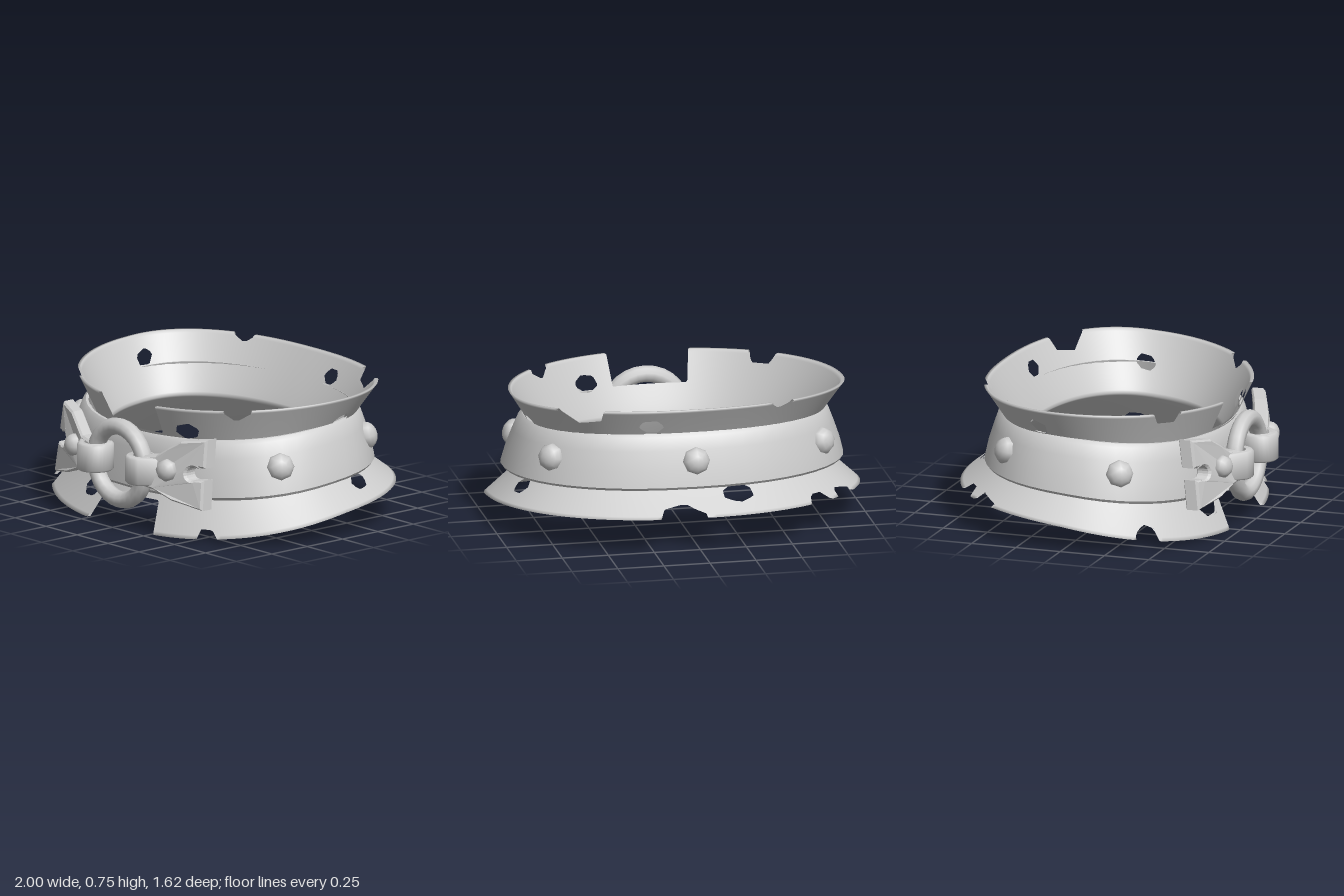
import * as THREE from 'three';
import { toCreasedNormals } from 'three/addons/utils/BufferGeometryUtils.js';

const mat = new THREE.MeshStandardMaterial({ color: 0xcccccc });
const thinMat = new THREE.MeshStandardMaterial({ color: 0xcccccc, side: THREE.DoubleSide });
const lerp = THREE.MathUtils.lerp;
const spow = (v, p) => Math.sign(v) * Math.abs(v) ** p;

// Point on a tilted, slightly squared oval; angle 0 is the front, +90 degrees is +x
// g = [half width, back z, front z, back height, front height, z of widest point, front roundness]
function girth(th, g) {
  const p = Math.cos(th) > 0 ? g[6] : 0.87;
  const c = spow(Math.cos(th), p);
  const y = lerp(g[3], g[4], ((c + 1) / 2) ** 1.75);
  return [g[0] * spow(Math.sin(th), p), y, g[5] + c * (c > 0 ? g[2] - g[5] : g[1] + g[5])];
}
const mix = (g, h, t) => g.map((v, i) => lerp(v, h[i], t));
const widen = (g, o) => g.map((v, i) => (i < 3 ? v + o : v));
const angleAt = (x, z, cz = 0) => Math.atan2(x / 0.9, (z - cz) / (z > cz ? 0.68 - cz : 0.68 + cz));

// Grid wrapped around the oval with a closed cross-section; keep() may drop triangles
function wrapGrid(cols, rows, point, keep = () => true) {
  const pos = [], idx = [];
  for (let j = 0; j < rows; j++)
    for (let i = 0; i < cols; i++) pos.push(...point(i, j));
  for (let j = 0; j < rows; j++)
    for (let i = 0; i < cols; i++) {
      const i2 = (i + 1) % cols, j2 = (j + 1) % rows;
      const a = j * cols + i, b = j * cols + i2, c = j2 * cols + i2, d = j2 * cols + i;
      for (const t of [[a, b, c], [a, c, d]]) if (keep(t)) idx.push(...t);
    }
  const geo = new THREE.BufferGeometry();
  geo.setAttribute('position', new THREE.Float32BufferAttribute(pos, 3));
  geo.setIndex(idx);
  geo.computeVertexNormals();
  return geo;
}

// Worn inner sleeve: narrow waist, flared both ways, with tears and holes
function sleeveGeometry() {
  const bottom = [1.0, 0.82, 0.71, 0.2, 0.0, 0, 0.87];
  const waist = [0.715, 0.505, 0.525, 0.45, 0.37, -0.05, 0.97];
  const top = [0.9, 0.675, 0.675, 0.757, 0.69, -0.13, 1];
  // x, z, height along flare (-1 bottom rim, 1 top rim), angular radius, flare radius, sides, turn
  const tears = [
    [0, 1, -1.15, 0.31, 0.85, 4, Math.PI / 4],
    [0, 1, 1.15, 0.36, 0.95, 4, Math.PI / 4],
    // holes
    [0.18, -0.58, 0.66, 0.085, 0.15, 6, 0],
    [0.35, 0.53, 0.58, 0.1, 0.16, 6, 0.3],
    [-0.78, -0.17, 0.64, 0.1, 0.15, 5, 0.4],
    [0.74, -0.15, 0.5, 0.1, 0.14, 6, 0.2],
    [-0.29, 0.6, -0.62, 0.1, 0.16, 6, 0.2],
    [-0.2, -0.73, -0.65, 0.1, 0.16, 6, 0.5],
    [0.9, -0.19, -0.66, 0.1, 0.15, 6, 0],
    // top rim notches
    [-0.42, -0.58, 1.02, 0.09, 0.17, 5, 0.9],
    [0.55, -0.52, 1.05, 0.2, 0.36, 6, 0.2],
    [0.62, 0.42, 1.02, 0.1, 0.24, 5, 0.9],
    [-0.57, 0.45, 1.02, 0.12, 0.26, 5, 0.3],
    // bottom rim notches
    [0.08, -0.72, -1.03, 0.11, 0.28, 6, 0.3],
    [-0.66, -0.58, -1.02, 0.1, 0.2, 6, 0],
    [-0.8, -0.42, -1.05, 0.14, 0.24, 4, 0.5],
    [-0.75, 0.4, -1.02, 0.1, 0.24, 7, 0],
    [0.48, 0.55, -1.03, 0.08, 0.18, 6, 0],
  ];
  const cols = 240, layer = 41, inside = [];
  const point = (i, j) => {
    // outer layer upwards, then inner layer back down
    const inner = j >= layer, row = inner ? 2 * layer - 1 - j : j;
    let th = (i / cols) * Math.PI * 2, v = (row / (layer - 1)) * 2 - 1, hit = false;
    for (const [x, z, cv, rt, rv, n, turn] of tears) {
      const mid = angleAt(x, z, cv > 0 ? -0.1 : 0), d = th - mid;
      const p = Math.atan2(Math.sin(d), Math.cos(d)) / rt, q = (v - cv) / rv;
      const step = (Math.PI * 2) / n;
      const a = THREE.MathUtils.euclideanModulo(Math.atan2(q, p) - turn, step) - step / 2;
      const edge = Math.cos(step / 2) / Math.cos(a), r = Math.hypot(p, q);
      if (r >= edge) continue;
      // push the vertex out to the rim of the tear
      hit = true;
      const s = r > 1e-4 ? edge / r : 1;
      th = mid + p * s * rt;
      v = cv + q * s * rv;
      break;
    }
    inside.push(hit);
    v = THREE.MathUtils.clamp(v, -1, 1);
    const rim = v > 0 ? top : bottom, t = Math.abs(v);
    const g = mix(waist, rim, t ** 1.08);
    g[3] = lerp(waist[3], rim[3], t);
    g[4] = lerp(waist[4], rim[4], t);
    return girth(th, widen(g, inner ? -0.016 : 0));
  };
  return wrapGrid(cols, layer * 2, point, (t) => !t.every((k) => inside[k]));
}

// Thick band around the sleeve, wider at its lower edge
const bandLow = [0.92, 0.69, 0.645, 0.32, 0.205, 0, 0.87];
const bandHigh = [0.815, 0.597, 0.6, 0.61, 0.515, -0.05, 0.9];
function bandGeometry() {
  // fraction of height, outward offset
  const section = [[0, -0.015], [0.05, 0], [0.35, 0.008], [0.7, 0.008], [0.94, 0.005], [1, -0.008],
    [1, -0.022], [0.5, -0.03], [0, -0.03]];
  const rings = section.map(([t, o]) => widen(mix(bandLow, bandHigh, t), o));
  const cols = 48;
  const geo = wrapGrid(cols, rings.length, (i, j) => girth((i / cols) * Math.PI * 2, rings[j]));
  return toCreasedNormals(geo, 0.7);
}

// Low domed stud whose pole points along +z
function makeStud(r) {
  const geo = new THREE.SphereGeometry(r, 8, 8).rotateX(Math.PI / 2).scale(1, 1, 0.8);
  const stud = new THREE.Mesh(geo, mat);
  stud.name = 'stud';
  return stud;
}

// Front strap: bent plate with a keyhole notch, a loop around the ring and a stud
function makeStrap() {
  const strap = new THREE.Group();
  const s = new THREE.Shape();
  s.moveTo(0.22, 0.285);
  s.lineTo(0.3, 0.275);
  s.lineTo(0.42, 0.23);
  s.lineTo(0.585, 0.195);
  s.lineTo(0.575, 0.335);
  s.lineTo(0.545, 0.335);
  s.absarc(0.52, 0.375, 0.047, -1.0, 1.0, true);
  s.lineTo(0.545, 0.42);
  s.lineTo(0.575, 0.42);
  s.lineTo(0.57, 0.55);
  s.lineTo(0.44, 0.53);
  s.lineTo(0.37, 0.485);
  s.lineTo(0.3, 0.435);
  s.lineTo(0.22, 0.425);
  const plateGeo = new THREE.ExtrudeGeometry(s, {
    depth: 0.06, bevelThickness: 0.01, bevelSize: 0.01, bevelSegments: 1, curveSegments: 6,
  });
  const p = plateGeo.attributes.position;
  for (let i = 0; i < p.count; i++) {
    const x = p.getX(i), y = p.getY(i);
    p.setZ(i, p.getZ(i) + 0.685 - 0.4 * x * x - 0.15 * (y - 0.37));
  }
  plateGeo.computeVertexNormals();
  const plate = new THREE.Mesh(plateGeo, mat);
  plate.name = 'strapPlate';

  // Teardrop loop running from the plate around the ring
  const outline = new THREE.Shape();
  outline.moveTo(0.14, -0.025);
  outline.absarc(0, 0, 0.09, -Math.PI / 3, (-4 * Math.PI) / 3, true);
  outline.lineTo(0.14, 0.03);
  outline.holes.push(new THREE.Path().absarc(0, 0, 0.058, 0, Math.PI * 2, true));
  const loopGeo = new THREE.ExtrudeGeometry(outline, {
    depth: 0.13, bevelThickness: 0.01, bevelSize: 0.01, bevelSegments: 1, curveSegments: 8,
  }).rotateX(-Math.PI / 2);
  const loop = new THREE.Mesh(toCreasedNormals(loopGeo, 0.95), mat);
  loop.name = 'strapLoop';
  loop.position.set(0.195, 0.29, 0.7);

  const stud = makeStud(0.062);
  stud.position.set(0.375, 0.378, 0.695);
  stud.rotation.y = 0.3;
  strap.add(plate, loop, stud);
  return strap;
}

export function createModel() {
  const model = new THREE.Group();
  model.name = 'collar';
  const add = (name, geo, m = mat) => {
    const mesh = new THREE.Mesh(geo, m);
    mesh.name = name;
    model.add(mesh);
    return mesh;
  };
  add('tornSleeve', sleeveGeometry(), thinMat);
  add('band', bandGeometry());
  add('frontRing', new THREE.TorusGeometry(0.2, 0.046, 10, 28)).position.set(0, 0.348, 0.695);

  // Mirrored front straps
  for (const side of [1, -1]) {
    const strap = makeStrap();
    strap.name = side > 0 ? 'leftStrap' : 'rightStrap';
    strap.scale.x = side;
    model.add(strap);
  }

  // Studs around the band
  const middle = mix(bandLow, bandHigh, 0.5);
  for (const [x, z] of [[0.81, 0.27], [-0.81, 0.27], [0.76, -0.39], [-0.76, -0.39], [0, -0.65]]) {
    const stud = makeStud(0.075);
    const [px, py, pz] = girth(angleAt(x, z), middle);
    stud.position.set(px, py, pz);
    stud.lookAt(px + px / 0.76, py + 0.3, pz + pz / 0.4);
    model.add(stud);
  }
  return model;
}
